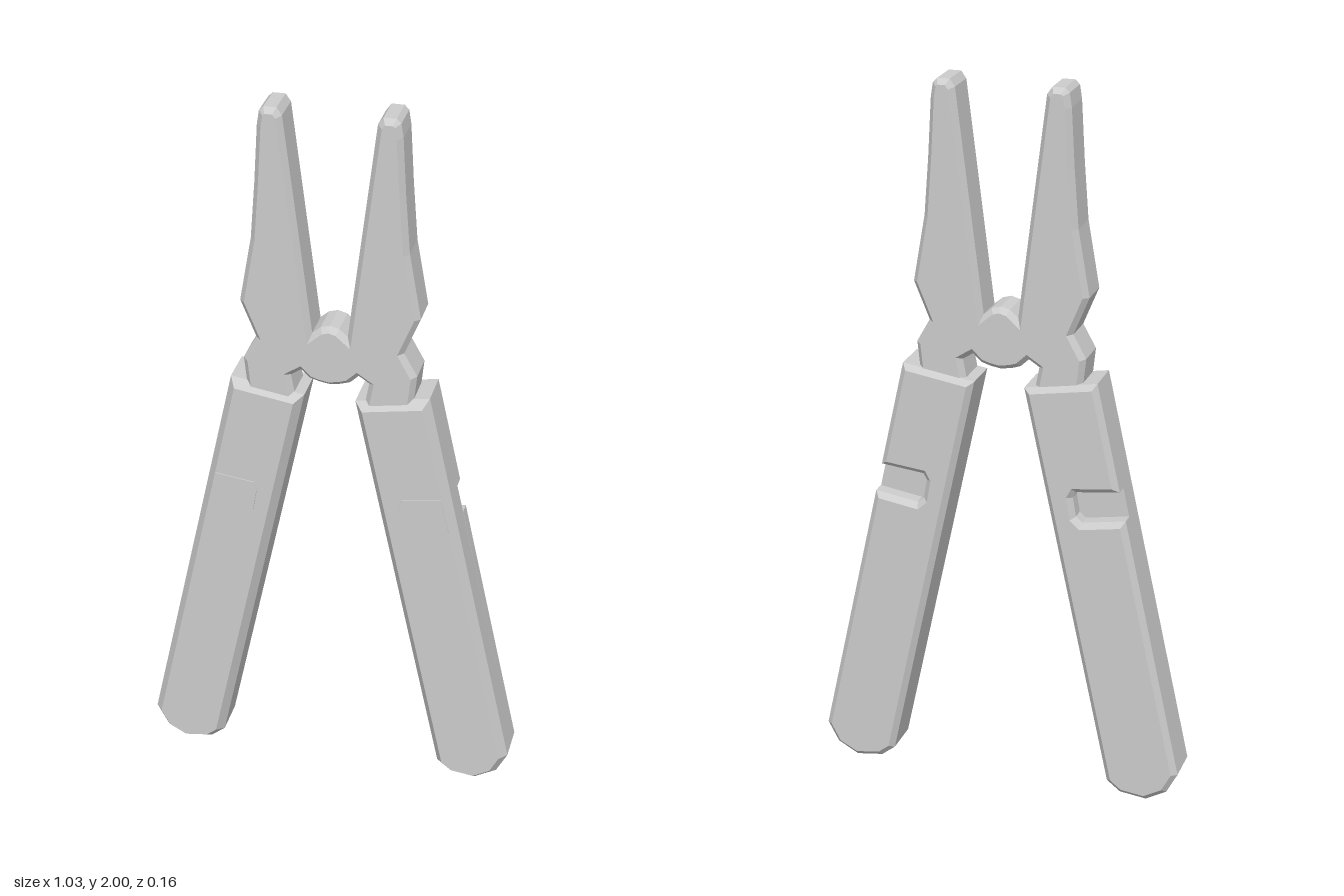
import * as THREE from 'three';

const material = new THREE.MeshStandardMaterial({ color: 0xcccccc, flatShading: true });

// Move a counter-clockwise outline inward by d, with mitred corners
function inset(outline, d) {
  return outline.map((p, i) => {
    const n = outline.length;
    const a = outline[(i + n - 1) % n], b = outline[(i + 1) % n];
    const n1 = new THREE.Vector2(a.y - p.y, p.x - a.x).multiplyScalar(-1);
    const n2 = new THREE.Vector2(p.y - b.y, b.x - p.x);
    n1.set(-(p.y - a.y), p.x - a.x).normalize();
    n2.normalize();
    const s = d / Math.max(0.4, 1 + n1.dot(n2));
    return new THREE.Vector2(p.x + (n1.x + n2.x) * s, p.y + (n1.y + n2.y) * s);
  });
}

// Solid from one outline; rings are [z, inset] from back to front
function bevelledSolid(outline, rings) {
  const loops = rings.map(([z, d]) => inset(outline, d).map(p => [p.x, p.y, z]));
  const pos = [];
  const tri = (a, b, c) => pos.push(...a, ...b, ...c);
  for (let r = 0; r < loops.length - 1; r++) {
    const lo = loops[r], hi = loops[r + 1];
    for (let i = 0; i < lo.length; i++) {
      const j = (i + 1) % lo.length;
      tri(lo[i], lo[j], hi[j]);
      tri(lo[i], hi[j], hi[i]);
    }
  }
  const back = loops[0], front = loops[loops.length - 1];
  const cap = l => THREE.ShapeUtils.triangulateShape(l.map(p => new THREE.Vector2(p[0], p[1])), []);
  for (const [a, b, c] of cap(back)) tri(back[a], back[c], back[b]);
  for (const [a, b, c] of cap(front)) tri(front[a], front[b], front[c]);
  const g = new THREE.BufferGeometry();
  g.setAttribute('position', new THREE.Float32BufferAttribute(pos, 3));
  g.computeVertexNormals();
  return g;
}

const points = list => list.map(([x, y]) => new THREE.Vector2(x, y));
const mirrored = list => list.map(([x, y]) => [-x, y]).reverse();

function addPart(parent, name, outline, rings) {
  const mesh = new THREE.Mesh(bevelledSolid(points(outline), rings), material);
  mesh.name = name;
  parent.add(mesh);
}

export function createModel() {
  const model = new THREE.Group();
  model.name = 'multiToolPliers';

  // Jaws with the pivot between them: left half from bottom centre to top centre
  const halfJaw = [
    [0.03, 1.227], [0.055, 1.235], [0.078, 1.257], [0.107, 1.238], [0.085, 1.12],
    [0.235, 1.12], [0.228, 1.2], [0.236, 1.275], [0.2, 1.34], [0.243, 1.445],
    [0.211, 1.63], [0.199, 1.79], [0.19, 1.95], [0.184, 1.988], [0.172, 2], [0.138, 2],
    [0.124, 1.98], [0.048, 1.37], [0.025, 1.39],
  ];
  const jawOutline = [[0, 1.222], ...halfJaw, [0, 1.397], ...mirrored(halfJaw)];
  addPart(model, 'jaws', jawOutline, [[-0.063, 0.014], [-0.046, 0], [0.046, 0], [0.063, 0.014]]);

  // Handles: plain front layer, back layer with a thumb notch in the outer edge
  const lowerEnd = [[0.315, 0.04], [0.353, 0.01], [0.428, 0], [0.486, 0.032], [0.517, 0.09]];
  const upperEnd = [[0.272, 1.215], [0.07, 1.182]];
  const notch = [[0.356, 0.832], [0.235, 0.812], [0.217, 0.828], [0.208, 0.882], [0.217, 0.899], [0.338, 0.913]];
  // Shallow thumb pad on the front face
  const pad = [[0.227, 0.802], [0.34, 0.818], [0.315, 0.925], [0.206, 0.91], [0.196, 0.885], [0.207, 0.82]];

  for (const [side, place] of [['left', l => l], ['right', mirrored]]) {
    const handle = new THREE.Group();
    handle.name = side + 'Handle';
    addPart(handle, side + 'HandleFront', place([...lowerEnd, ...upperEnd]),
      [[-0.026, 0], [0.049, 0], [0.078, 0.02]]);
    addPart(handle, side + 'HandleBack', place([...lowerEnd, ...notch, ...upperEnd]),
      [[-0.078, 0.015], [-0.062, 0], [-0.026, 0]]);
    addPart(handle, side + 'ThumbPad', place(pad), [[0.07, 0], [0.08, 0.002]]);
    model.add(handle);
  }
  return model;
}
